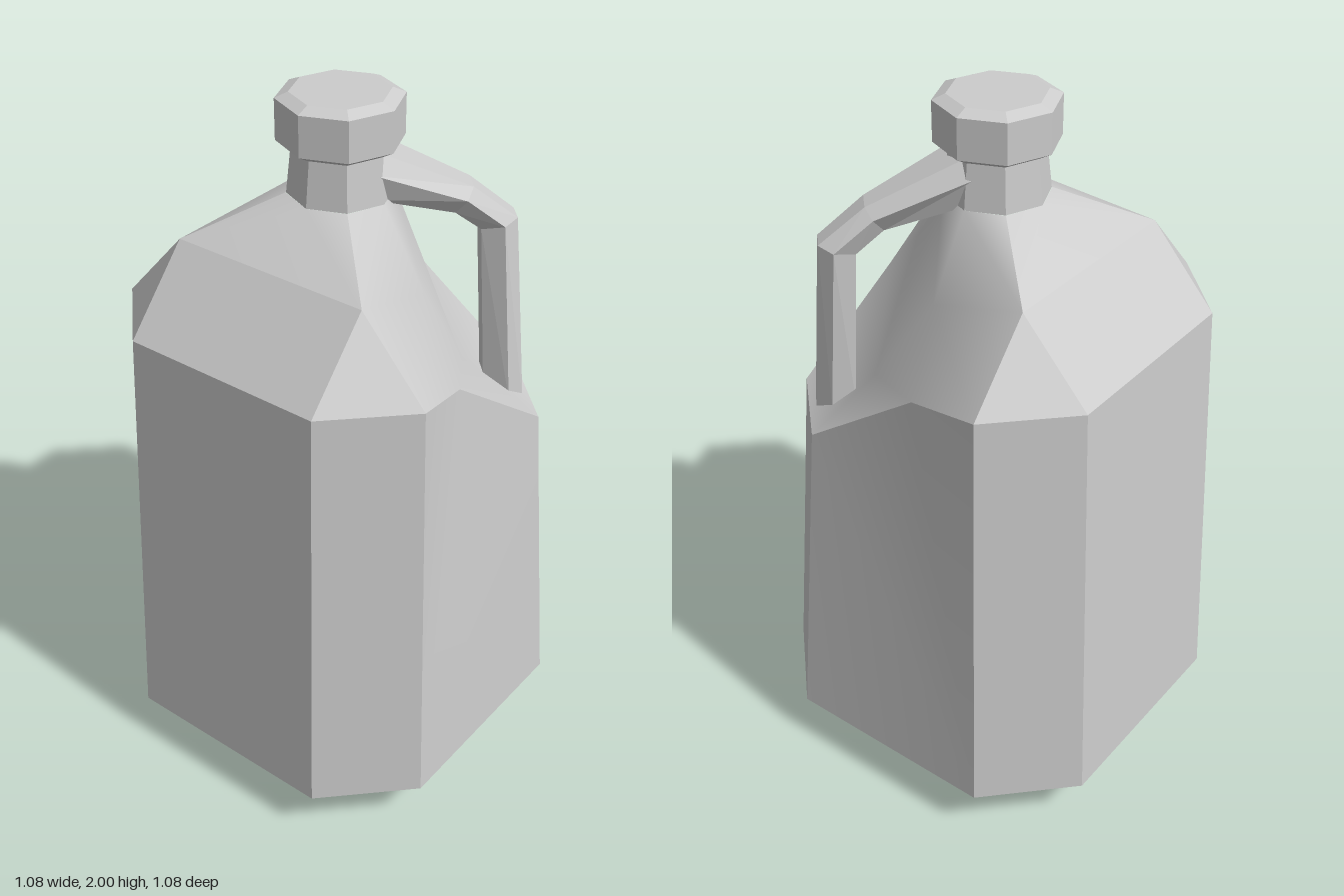
import * as THREE from 'three';
import { mergeGeometries } from 'three/addons/utils/BufferGeometryUtils.js';

const flatGrey = () => new THREE.MeshStandardMaterial({ color: 0xcccccc, flatShading: true });
const smoothGrey = () => new THREE.MeshStandardMaterial({ color: 0xcccccc });

function indexed(points, index) {
  const g = new THREE.BufferGeometry();
  g.setAttribute('position', new THREE.Float32BufferAttribute(points.flat(), 3));
  g.setIndex(index);
  g.computeVertexNormals();
  return g;
}

// one panel, fanned from its first corner
function panel(...points) {
  const index = [];
  for (let i = 1; i < points.length - 1; i++) index.push(0, i, i + 1);
  return indexed(points, index);
}

// chamfered square, counterclockwise from the front
const ring = (a, b, y) => [[-b, a], [b, a], [a, b], [a, -b], [b, -a], [-b, -a], [-a, -b], [-a, b]]
  .map(([x, z]) => [x, y, z]);
const square = (s, y) => [[-s, s], [s, s], [s, -s], [-s, -s]].map(([x, z]) => [x, y, z]);

function bodyGeometry() {
  const foot = square(0.32, 0);
  const low = ring(0.54, 0.32, 0.145);
  const top = ring(0.49, 0.295, 1.4);
  const shoulder = square(0.295, 1.615);
  const neck = (x, z) => [x, 1.73, z];

  // rim of the grip recess on the front left corner
  const rimFront = [-0.08, 1.34, 0.445], rimSide = [0.44, 1.34, -0.06];
  top[1] = [0.255, 1.095, 0.49];
  top[2] = [0.45, 1.095, 0.29];

  // bottom and its bevels
  const parts = [panel(foot[0], foot[3], foot[2], foot[1])];
  for (let k = 0; k < 4; k++) {
    const n = (k + 1) % 4;
    parts.push(panel(foot[k], foot[n], low[2 * k + 1], low[2 * k]));
    parts.push(panel(foot[k], low[2 * k], low[(2 * k + 7) % 8]));
  }
  // walls
  parts.push(panel(low[0], low[1], top[1], rimFront, top[0]));
  parts.push(panel(low[3], top[3], rimSide, top[2], low[2]));
  for (const i of [1, 3, 4, 5, 6, 7]) {
    const n = (i + 1) % 8;
    parts.push(panel(low[i], low[n], top[n], top[i]));
  }
  // shoulders at the back and right, and the three full corners
  for (const k of [2, 3]) parts.push(panel(top[2 * k], top[2 * k + 1], shoulder[(k + 1) % 4], shoulder[k]));
  for (const k of [0, 2, 3]) parts.push(panel(top[(2 * k + 7) % 8], top[2 * k], shoulder[k]));
  parts.push(panel(neck(0, -0.14), neck(0.1, -0.1), shoulder[2], shoulder[3], neck(-0.1, -0.1)));
  parts.push(panel(neck(-0.14, 0), neck(-0.1, -0.1), shoulder[3], shoulder[0], neck(-0.1, 0.1)));

  // smooth grip recess: rim, middle and neck rows
  const rim = [top[0], rimFront, top[1], top[2], rimSide, top[3]];
  const mid = [shoulder[0], [0, 1.52, 0.27], [0.24, 1.2, 0.24], [0.27, 1.52, 0], shoulder[2]];
  const collar = [neck(-0.1, 0.1), neck(0, 0.14), neck(0.1, 0.1), neck(0.14, 0), neck(0.1, -0.1)];
  const index = [2, 3, 8];
  const quad = (a, b, c, d, mirrored) =>
    mirrored ? index.push(a, b, d, b, c, d) : index.push(a, b, c, a, c, d);
  for (let i = 0; i < 4; i++) {
    const right = i > 1, r = right ? i + 1 : i;
    quad(r, r + 1, 7 + i, 6 + i, right);
    quad(6 + i, 7 + i, 12 + i, 11 + i, right);
  }
  parts.push(indexed([...rim, ...mid, ...collar], index));
  return mergeGeometries(parts);
}

// hexagonal bar swept through sections of outer point, inner point and widths
function handleGeometry() {
  const sections = [
    { o: [0.05, 1.865, 0.05], i: [0.05, 1.73, 0.05], w: 0.1, e: 0.07 },
    { o: [0.25, 1.73, 0.235], i: [0.215, 1.66, 0.205], w: 0.062, e: 0.035 },
    { o: [0.34, 1.63, 0.32], i: [0.275, 1.6, 0.25], w: 0.06, e: 0.03 },
    { o: [0.33, 1.09, 0.385], i: [0.27, 1.13, 0.29], w: 0.058, e: 0.028 },
  ];
  const side = new THREE.Vector3(0.72, 0, -0.69);
  const points = [], index = [];
  for (const { o, i, w, e } of sections) {
    const outer = new THREE.Vector3(...o), inner = new THREE.Vector3(...i);
    const middle = outer.clone().lerp(inner, 0.4);
    for (const [p, d] of [[outer, e], [middle, w], [inner, e], [inner, -e], [middle, -w], [outer, -e]])
      points.push(p.clone().addScaledVector(side, d).toArray());
  }
  for (let s = 0; s < sections.length - 1; s++)
    for (let k = 0; k < 6; k++) {
      const a = s * 6 + k, a2 = s * 6 + (k + 1) % 6;
      index.push(a, a + 6, a2 + 6, a, a2 + 6, a2);
    }
  const end = points.length - 6;
  for (let k = 1; k < 5; k++) index.push(0, k, k + 1, end, end + k + 1, end + k);
  return indexed(points, index);
}

const turned = (profile) =>
  new THREE.LatheGeometry(profile.map(([r, y]) => new THREE.Vector2(r, y)), 8);

export function createModel() {
  const group = new THREE.Group();
  group.name = 'jug';
  const add = (name, geometry, material) => {
    const mesh = new THREE.Mesh(geometry, material);
    mesh.name = name;
    group.add(mesh);
  };
  add('body', bodyGeometry(), smoothGrey());
  add('neck', turned([[0.14, 1.73], [0.125, 1.87]]), flatGrey());
  add('cap', turned([[0, 1.855], [0.13, 1.855], [0.165, 1.875], [0.165, 1.985], [0.13, 2], [0, 2]]), flatGrey());
  add('handle', handleGeometry(), flatGrey());
  return group;
}
